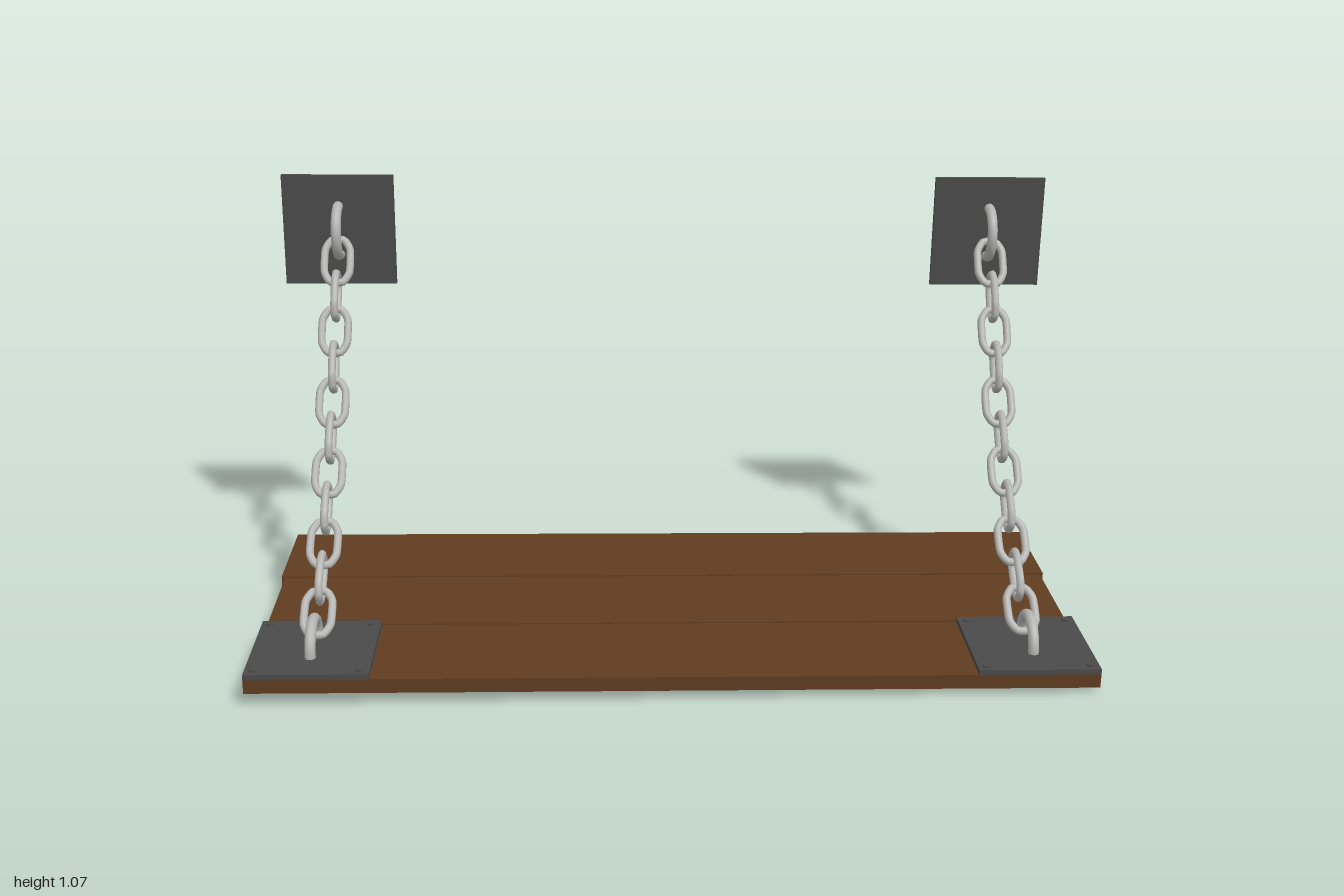
import * as THREE from 'three';

export function createModel() {
  const wood = new THREE.MeshStandardMaterial({ color: 0x5f3c20 });
  const iron = new THREE.MeshStandardMaterial({ color: 0x4a4a4a });
  const steel = new THREE.MeshStandardMaterial({ color: 0xb4b4b2 });
  wood.name = 'dark wood';
  iron.name = 'dark iron';
  steel.name = 'chain steel';

  const model = new THREE.Group();
  model.name = 'hangingShelf';
  // The whole shelf hangs slightly askew
  const shelf = new THREE.Group();
  shelf.name = 'shelf';
  shelf.rotation.set(0.0176, 0.0105, -0.012);
  shelf.position.x = -0.003;
  model.add(shelf);

  const add = (parent, name, geometry, material, x = 0, y = 0, z = 0) => {
    const mesh = new THREE.Mesh(geometry, material);
    mesh.name = name;
    mesh.position.set(x, y, z);
    parent.add(mesh);
    return mesh;
  };
  // Box given by its limits on each axis
  const slab = (name, [x0, x1], [y0, y1], [z0, z1]) =>
    add(shelf, name, new THREE.BoxGeometry(x1 - x0, y1 - y0, z1 - z0), wood,
      (x0 + x1) / 2, (y0 + y1) / 2, (z0 + z1) / 2);

  // Three planks and the two battens beneath them
  const deck = [0.032, 0.067];
  slab('backPlank', [-0.993, 0.988], deck, [-0.411, -0.132]);
  slab('middlePlank', [-0.983, 0.978], deck, [-0.125, 0.152]);
  slab('frontPlank', [-0.992, 0.992], deck, [0.158, 0.443]);
  slab('rightBatten', [-0.836, -0.646], [0.015, 0.032], [-0.259, 0.283]);
  slab('leftBatten', [0.573, 0.772], [0.015, 0.032], [-0.259, 0.283]);

  // Square plate lying in xz, with corner bolts and a half ring standing on it
  const size = 0.287, thick = 0.013;
  const plateGeo = new THREE.BoxGeometry(size, thick, size);
  const boltGeo = new THREE.CylinderGeometry(0.01, 0.01, thick + 0.008, 12);
  const ringGeo = new THREE.TorusGeometry(0.064, 0.013, 12, 24, Math.PI);
  ringGeo.rotateY(Math.PI / 2);
  const makePlate = (name) => {
    const group = new THREE.Group();
    group.name = name;
    add(group, 'plate', plateGeo, iron);
    for (const sx of [-1, 1]) for (const sz of [-1, 1])
      add(group, 'bolt', boltGeo, iron, sx * 0.122, 0, sz * 0.122);
    add(group, 'ring', ringGeo, steel, 0, thick / 2 + 0.004, 0);
    return group;
  };

  // Chain link: closed tube along an eight-cornered oval, long side on y
  const w = 0.032, h = 0.057;
  const outline = [[w, -0.03], [w, 0.03], [0.016, h], [-0.016, h],
    [-w, 0.03], [-w, -0.03], [-0.016, -h], [0.016, -h]];
  const linkGeo = new THREE.TubeGeometry(
    new THREE.CatmullRomCurve3(outline.map(([x, y]) => new THREE.Vector3(x, y, 0)), true, 'catmullrom', 0.25),
    40, 0.0098, 10, true);

  // Sagging chain path from floor ring to wall ring, as [y, z]
  const path = new THREE.CatmullRomCurve3([[0.129, 0.218], [0.249, 0.069], [0.388, -0.069],
    [0.527, -0.186], [0.682, -0.288], [0.838, -0.392]].map(([y, z]) => new THREE.Vector3(0, y, z)));
  const links = 11;

  for (const [side, x] of [['right', -0.848], ['left', 0.848]]) {
    const floorPlate = makePlate(side + 'ShelfPlate');
    floorPlate.position.set(x, 0.067 + thick / 2, 0.301);
    const wallPlate = makePlate(side + 'WallPlate');
    wallPlate.position.set(x, 0.905, -0.461);
    wallPlate.rotation.x = Math.PI / 2;
    const chain = new THREE.Group();
    chain.name = side + 'Chain';
    chain.position.x = x;
    shelf.add(floorPlate, wallPlate, chain);

    for (let i = 0; i < links; i++) {
      const t = i / (links - 1);
      const p = path.getPointAt(t);
      const d = path.getTangentAt(t);
      const link = add(chain, 'link', linkGeo, steel, p.x, p.y, p.z);
      link.rotation.x = Math.atan2(d.z, d.y);
      // Every second link is turned a quarter about the chain
      if (i % 2) link.rotateY(Math.PI / 2);
    }
  }
  return model;
}
